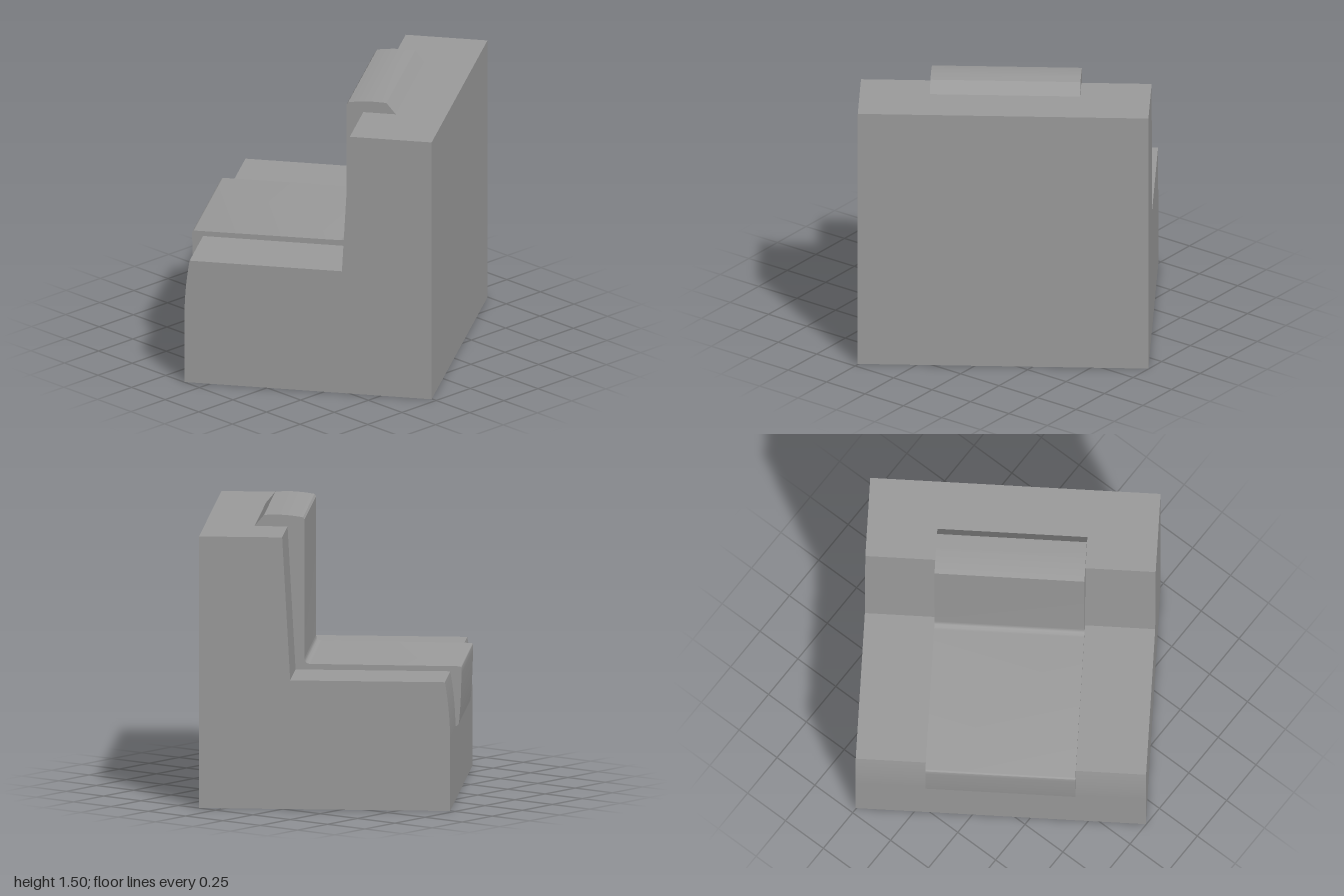
import * as THREE from 'three';
import { toCreasedNormals } from 'three/addons/utils/BufferGeometryUtils.js';

const material = new THREE.MeshStandardMaterial({ color: 0x9c9c9c, side: THREE.DoubleSide });
const HALF_SEAT = 0.759;
const HALF_COVER = 0.392;

function part(name, geometry) {
  const mesh = new THREE.Mesh(geometry, material);
  mesh.name = name;
  return mesh;
}

// Sweeps an open side profile (x = forward, y = up) across the width from x0 to x1.
function sheet(name, points, x0, x1) {
  const positions = [];
  for (let i = 0; i < points.length - 1; i++) {
    const p = points[i], q = points[i + 1];
    positions.push(x0, p.y, p.x, x1, p.y, p.x, x1, q.y, q.x);
    positions.push(x0, p.y, p.x, x1, q.y, q.x, x0, q.y, q.x);
  }
  const geometry = new THREE.BufferGeometry();
  geometry.setAttribute('position', new THREE.Float32BufferAttribute(positions, 3));
  return part(name, toCreasedNormals(geometry, 0.5));
}

// Flat side face filling a closed profile, placed at the given x.
function sideFace(name, points, x) {
  const geometry = new THREE.ShapeGeometry(new THREE.Shape(points));
  geometry.rotateY(-Math.PI / 2);
  geometry.translate(x, 0, 0);
  return part(name, geometry);
}

// Curved front edge, seat and leaning backrest, from the cover's hem to the backrest top
function seatLine() {
  const s = new THREE.Path();
  s.moveTo(0.657, 0.39);
  s.quadraticCurveTo(0.655, 0.535, 0.63, 0.68);
  s.lineTo(-0.18, 0.68);
  s.lineTo(-0.222, 1.435);
  s.lineTo(-0.395, 1.435);
  return s.getPoints(10);
}

// Cover draped over the front edge, the seat, the backrest and its top
function coverLine() {
  const s = new THREE.Path();
  s.moveTo(0.657, 0.39);
  s.lineTo(0.664, 0.39);
  s.lineTo(0.675, 0.405);
  s.quadraticCurveTo(0.688, 0.54, 0.688, 0.695);
  s.quadraticCurveTo(0.688, 0.706, 0.676, 0.707);
  s.lineTo(-0.1, 0.71);
  s.quadraticCurveTo(-0.133, 0.71, -0.133, 0.743);
  s.lineTo(-0.133, 1.472);
  s.lineTo(-0.141, 1.484);
  s.quadraticCurveTo(-0.2, 1.495, -0.268, 1.497);
  s.lineTo(-0.345, 1.495);
  s.lineTo(-0.395, 1.435);
  return s.getPoints(10);
}

export function createModel() {
  const model = new THREE.Group();
  model.name = 'seatWithCover';

  // The whole piece is turned to stand diagonally
  const seat = new THREE.Group();
  seat.name = 'seat';
  seat.rotation.y = -0.97;
  model.add(seat);

  const seatPoints = seatLine();
  const coverPoints = coverLine();
  const frontFoot = new THREE.Vector2(0.657, 0);
  const backTop = new THREE.Vector2(-0.657, 1.435);
  const backFoot = new THREE.Vector2(-0.657, 0);
  const outline = [frontFoot, ...seatPoints, backTop, backFoot];

  // Hollow seat, open underneath and where the cover lies
  seat.add(sheet('leftSeatShell', outline, HALF_COVER, HALF_SEAT));
  seat.add(sheet('rightSeatShell', outline, -HALF_SEAT, -HALF_COVER));
  seat.add(sheet('frontPanel', [frontFoot, seatPoints[0]], -HALF_COVER, HALF_COVER));
  seat.add(sheet('backPanel', [seatPoints.at(-1), backTop, backFoot], -HALF_COVER, HALF_COVER));

  // Draped cover shell
  seat.add(sheet('drapedCover', coverPoints, -HALF_COVER, HALF_COVER));

  // Side walls of the seat and side edges of the cover
  const coverOutline = [...coverPoints, ...seatPoints.slice(1, -1).reverse()];
  for (const [side, sign] of [['left', 1], ['right', -1]]) {
    seat.add(sideFace(side + 'SeatWall', outline, sign * HALF_SEAT));
    seat.add(sideFace(side + 'CoverEdge', coverOutline, sign * HALF_COVER));
  }
  return model;
}
